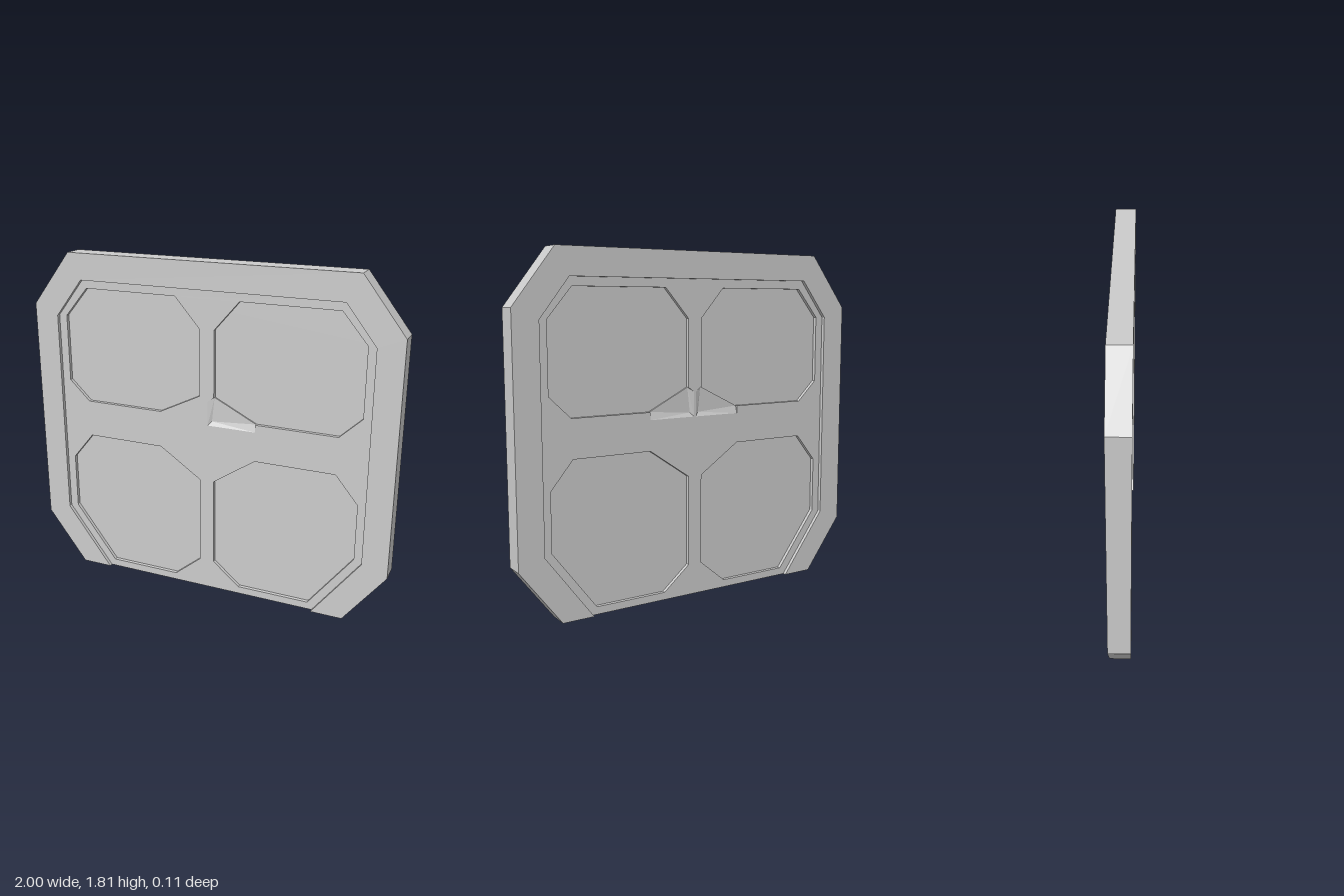
import * as THREE from 'three';

const material = new THREE.MeshStandardMaterial({ color: 0xcccccc, flatShading: true });
const FRAME = 0.055, DOOR = 0.035, PANEL = 0.015; // half thicknesses
const FLOOR = 0.023; // level of the notch floor

// Right-hand outlines; mirrored for the left
const upperPanel = [[0.27, 1.0], [0.705, 1.0], [0.82, 1.11], [0.82, 1.47], [0.69, 1.625], [0.175, 1.625], [0.04, 1.47], [0.04, 1.115]];
const lowerPanel = [[0.27, 0.8], [0.04, 0.645], [0.04, 0.165], [0.19, 0.04], [0.585, 0.04], [0.82, 0.35], [0.82, 0.655], [0.7, 0.8]];
const notchRim = [[0.005, 1.09], [0.005, 0.96], [0.27, 0.96]];
const opening = [[0.61, 0], [0.865, 0.34], [0.865, 1.47], [0.71, 1.67]];
const outer = [[0.78, 0], [1, 0.29], [1, 1.525], [0.78, 1.81]];

const mirror = (pts) => pts.map(([x, y]) => [-x, y]).reverse();
const vectors = (pts) => pts.map(([x, y]) => new THREE.Vector2(x, y));

function slab(name, outline, holes, z, depth) {
  const shape = new THREE.Shape(vectors(outline));
  holes.forEach((h) => shape.holes.push(new THREE.Path(vectors(h))));
  const geometry = new THREE.ExtrudeGeometry(shape, { depth, bevelEnabled: false });
  geometry.translate(0, 0, z);
  const mesh = new THREE.Mesh(geometry, material);
  mesh.name = name;
  return mesh;
}

// Shallow sloped notch between an upper panel and the door centre
function notch(side) {
  const a = [0.04, 1.115, FLOOR], b = [0.27, 1.0, FLOOR], c = [0.025, 0.982, FLOOR];
  const [r1, r2, r3] = notchRim.map(([x, y]) => [x, y, DOOR]);
  const a0 = [a[0], a[1], PANEL], b0 = [b[0], b[1], PANEL];
  const faces = [[a, c, b], [c, r2, r3], [c, r3, b], [a, r1, r2], [a, r2, c], [a, b, b0], [a, b0, a0]];
  const points = faces.flatMap((f) => (side > 0 ? f : [...f].reverse()))
    .flatMap(([x, y, z]) => [x * side, y, z]);
  const geometry = new THREE.BufferGeometry();
  geometry.setAttribute('position', new THREE.Float32BufferAttribute(points, 3));
  geometry.computeVertexNormals();
  const thin = material.clone();
  thin.side = THREE.DoubleSide;
  const mesh = new THREE.Mesh(geometry, thin);
  mesh.name = 'notch';
  return mesh;
}

// One face of the door: rails around four recessed panels
function doorFace(name, notchedSides) {
  const face = new THREE.Group();
  face.name = name;
  const holes = [];
  for (const side of [1, -1]) {
    const notched = notchedSides.includes(side);
    const upper = notched ? [...upperPanel, ...notchRim] : upperPanel;
    for (const h of [upper, lowerPanel]) holes.push(side > 0 ? h : mirror(h));
    if (notched) face.add(notch(side));
  }
  face.add(slab('doorRails', [...opening, ...mirror(opening)], holes, 0, DOOR));
  return face;
}

export function createModel() {
  const model = new THREE.Group();
  model.name = 'panelDoor';

  // Frame, open at the foot
  const frame = [...outer, ...mirror(outer), ...opening.map(([x, y]) => [-x, y]), ...mirror(opening).map(([x, y]) => [-x, y])];
  model.add(slab('frame', frame, [], -FRAME, FRAME * 2));

  // Recessed panels form one core plate
  model.add(slab('panels', [...opening, ...mirror(opening)], [], -PANEL, PANEL * 2));

  // Door faces
  model.add(doorFace('doorFront', [1]));
  const back = doorFace('doorBack', [1, -1]);
  back.rotation.y = Math.PI;
  model.add(back);

  return model;
}
